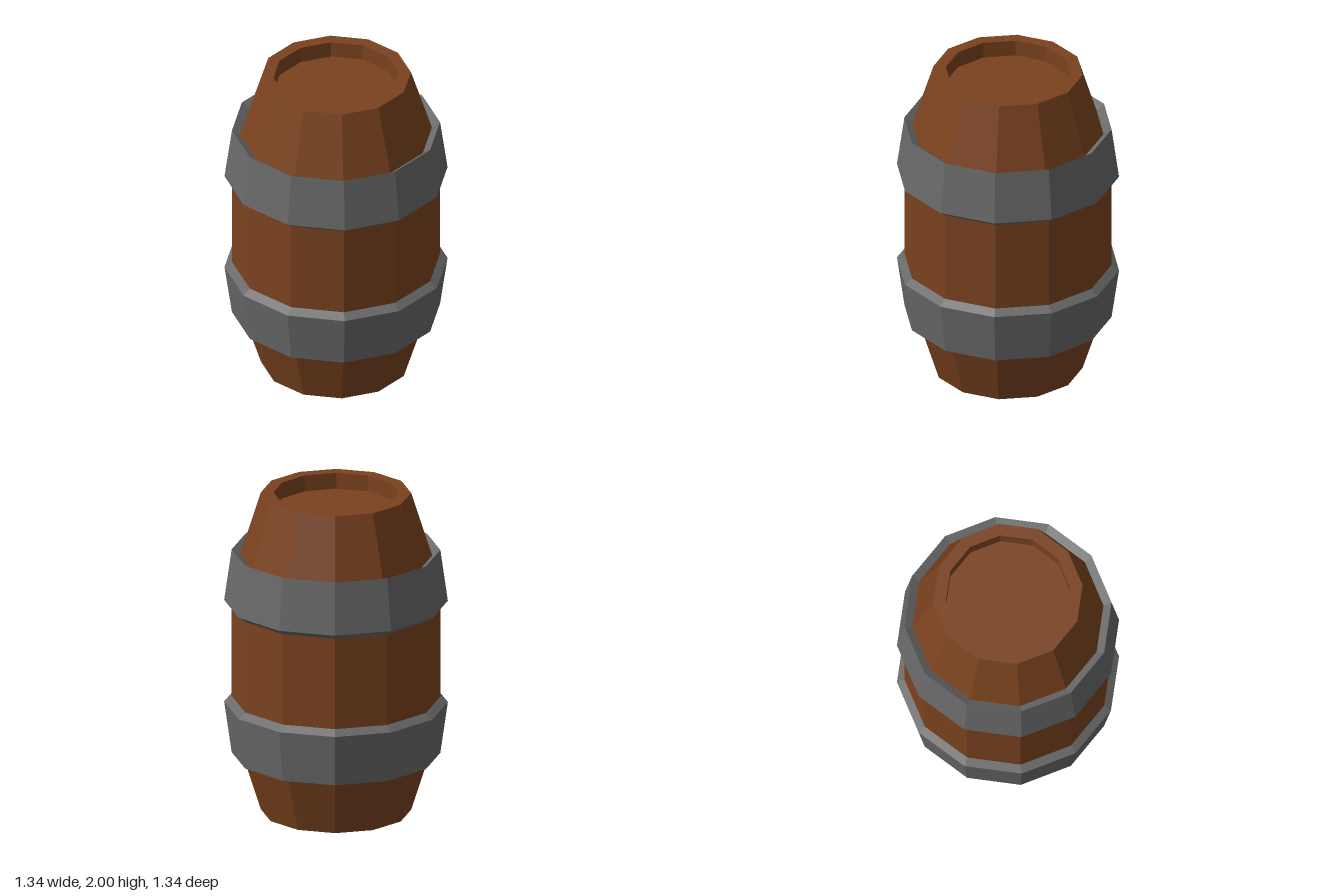
import * as THREE from 'three';

const SIDES = 12;

// Faceted ring of revolution; the profile runs bottom to top as [radius, y]
function turned(name, profile, material) {
  const points = profile.map(([r, y]) => new THREE.Vector2(r, y));
  const mesh = new THREE.Mesh(new THREE.LatheGeometry(points, SIDES), material);
  mesh.name = name;
  return mesh;
}

export function createModel() {
  const wood = new THREE.MeshStandardMaterial({ color: 0x7a421e, flatShading: true });
  const iron = new THREE.MeshStandardMaterial({ color: 0x696969, flatShading: true });
  const barrel = new THREE.Group();
  barrel.name = 'barrel';

  // Wooden body with a flat base and a recessed lid
  barrel.add(turned('body', [
    [0, 0], [0.45, 0], [0.576, 0.395], [0.625, 0.715],
    [0.625, 1.285], [0.576, 1.605], [0.45, 2],
    [0.375, 2], [0.375, 1.9], [0, 1.9],
  ], wood));

  // Bevelled metal hoops, mirrored about mid height
  const hoop = [[0.625, 1.285], [0.67, 1.32], [0.625, 1.64], [0.576, 1.605]];
  barrel.add(turned('upperHoop', hoop, iron));
  barrel.add(turned('lowerHoop', hoop.map(([r, y]) => [r, 2 - y]).reverse(), iron));

  return barrel;
}
